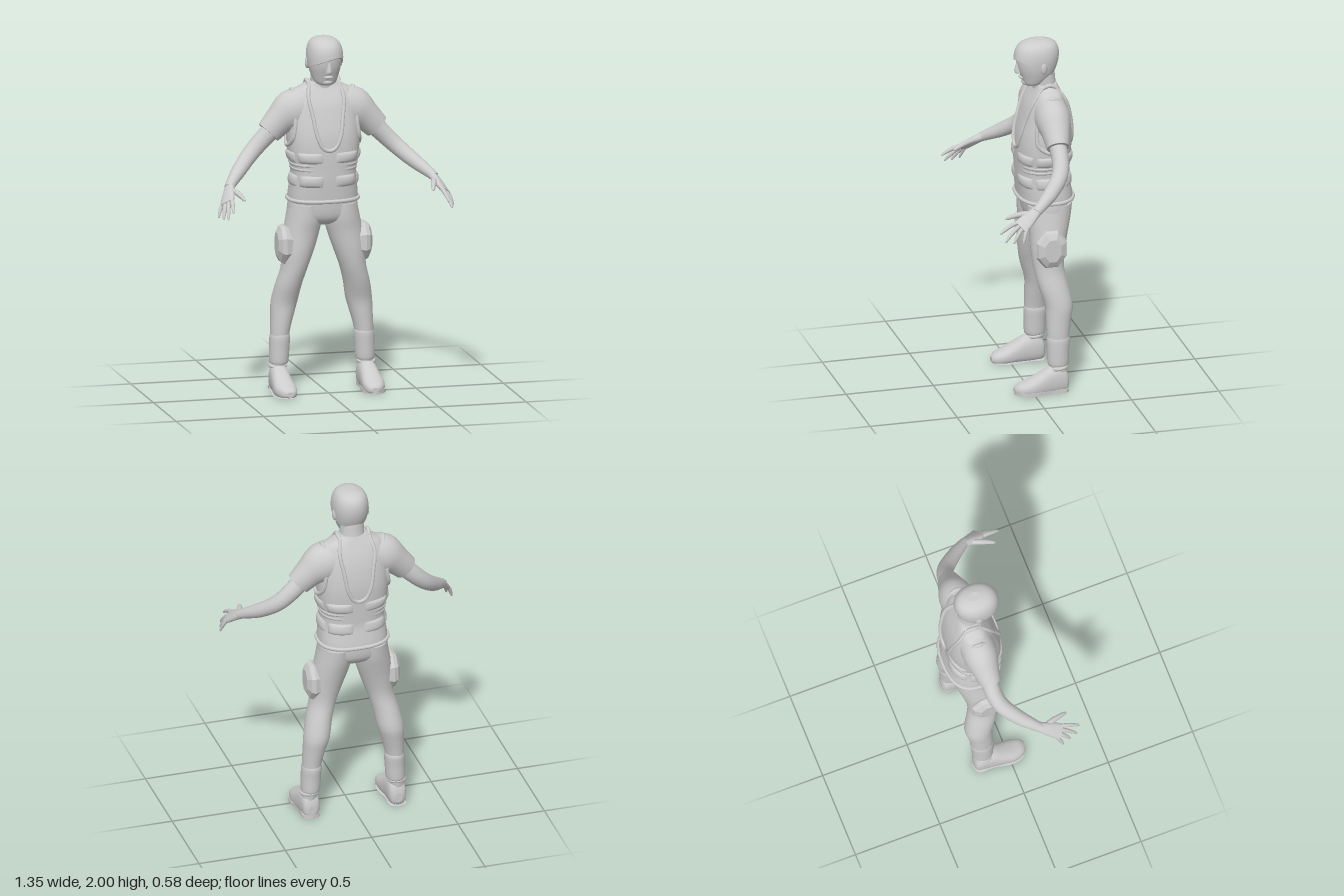
import * as THREE from 'three';

const V = (x, y, z) => new THREE.Vector3(x, y, z);
const grey = new THREE.MeshStandardMaterial({ color: 0xcccccc });
grey.name = 'light grey';

// Surface from f(u, v): u runs around, v along; optional wrap and end caps
function grid(nu, nv, f, wrap = true, caps = wrap) {
  const pos = [], idx = [], cols = wrap ? nu : nu + 1;
  for (let j = 0; j <= nv; j++)
    for (let i = 0; i < cols; i++) pos.push(...f(i / nu, j / nv).toArray());
  for (let j = 0; j < nv; j++)
    for (let i = 0; i < nu; i++) {
      const k = (i + 1) % cols, a = j * cols, b = a + cols;
      idx.push(a + i, a + k, b + k, a + i, b + k, b + i);
    }
  if (caps) for (const v of [0, 1]) {
    const start = pos.length / 3, c = V(0, 0, 0);
    for (let i = 0; i < nu; i++) {
      const p = f(i / nu, v);
      pos.push(...p.toArray());
      c.addScaledVector(p, 1 / nu);
    }
    pos.push(...c.toArray());
    for (let i = 0; i < nu; i++) {
      const a = start + i, b = start + (i + 1) % nu;
      idx.push(start + nu, v ? a : b, v ? b : a);
    }
  }
  const g = new THREE.BufferGeometry();
  g.setAttribute('position', new THREE.Float32BufferAttribute(pos, 3));
  g.setIndex(idx);
  g.computeVertexNormals();
  return g;
}

// Catmull-Rom subdivision of rows [x, y, z, ru, rv]
function smooth(rows, k = 3) {
  const out = [], at = i => rows[Math.max(0, Math.min(rows.length - 1, i))];
  for (let i = 0; i < rows.length - 1; i++)
    for (let s = 0; s < k; s++) {
      const t = s / k;
      out.push(rows[i].map((p1, c) => {
        const p0 = at(i - 1)[c], p2 = at(i + 1)[c], p3 = at(i + 2)[c];
        return p1 + 0.5 * t * (p2 - p0 + t * (2 * p0 - 5 * p1 + 4 * p2 - p3 + t * (3 * (p1 - p2) + p3 - p0)));
      }));
    }
  out.push(rows[rows.length - 1]);
  return out;
}

const pow = (v, n) => Math.sign(v) * Math.abs(v) ** (2 / n);

// Loft through rings; u follows ref, axis fixes the ring plane if given
function loft(input, { seg = 20, n = 2, ref = V(0, 0, 1), axis = null, k = 3, turn = 0, floor = -1 } = {}) {
  const rows = k > 1 ? smooth(input, k) : input, last = rows.length - 1;
  const frames = rows.map((r, i) => {
    const a = rows[Math.max(0, i - 1)], b = rows[Math.min(last, i + 1)];
    const t = axis ? axis.clone() : V(b[0] - a[0], b[1] - a[1], b[2] - a[2]).normalize();
    const u = ref.clone().addScaledVector(t, -ref.dot(t)).normalize();
    return [u, t.cross(u)];
  });
  return grid(seg, last, (uu, vv) => {
    const i = Math.round(vv * last), r = rows[i], a = uu * Math.PI * 2 + turn;
    const p = V(r[0], r[1], r[2]).addScaledVector(frames[i][0], r[3] * pow(Math.cos(a), n))
      .addScaledVector(frames[i][1], r[4] * pow(Math.sin(a), n));
    p.y = Math.max(p.y, floor);
    return p;
  });
}
const upright = (rows, o = {}) => loft(rows, { axis: V(0, 1, 0), ref: V(1, 0, 0), ...o });

// Interpolated upright ring at height y, and a point on it (a = 0 is the front)
function ringAt(rows, y) {
  let i = 0;
  while (i < rows.length - 2 && rows[i + 1][1] < y) i++;
  const t = Math.max(0, Math.min(1, (y - rows[i][1]) / (rows[i + 1][1] - rows[i][1])));
  return rows[i].map((v, c) => v + (rows[i + 1][c] - v) * t);
}
function onRing(rows, y, a, off, n) {
  const r = ringAt(rows, y);
  return V((r[3] + off) * pow(Math.sin(a), n), y, r[2] + (r[4] + off) * pow(Math.cos(a), n));
}

function mirror(g) {
  const m = g.clone().applyMatrix4(new THREE.Matrix4().makeScale(-1, 1, 1));
  if (m.index) {
    const ix = m.index.array;
    for (let i = 0; i < ix.length; i += 3) [ix[i], ix[i + 1]] = [ix[i + 1], ix[i]];
  }
  return m;
}

const TN = 2.5;
const torsoRows = [
  [0, 1.07, -0.133, 0.19, 0.148], [0, 1.1, -0.132, 0.194, 0.15], [0, 1.2, -0.12, 0.184, 0.146],
  [0, 1.26, -0.12, 0.182, 0.147], [0, 1.35, -0.122, 0.198, 0.15], [0, 1.45, -0.128, 0.203, 0.149],
  [0, 1.55, -0.135, 0.198, 0.132], [0, 1.63, -0.138, 0.19, 0.11], [0, 1.69, -0.142, 0.17, 0.082],
  [0, 1.72, -0.143, 0.118, 0.068], [0, 1.745, -0.14, 0.08, 0.06]];
const torsoFine = smooth(torsoRows);
// Point on the vest from x and y, side +1 front or -1 back
function onVest(x, y, side) {
  const r = ringAt(torsoFine, y), s = Math.min(1, Math.abs(x) / r[3]);
  return V(x, y, r[2] + side * (r[4] + 0.003) * (1 - s ** TN) ** (1 / TN));
}
const tube = (pts, r, closed = true) =>
  new THREE.TubeGeometry(new THREE.CatmullRomCurve3(pts, closed), 90, r, 8, closed);
// Padded pouch hugging the vest
const pouch = (a0, a1, y0, y1, h) => grid(16, 8, (u, v) => {
  const e = (Math.max(0, Math.sin(Math.PI * u)) * Math.max(0, Math.sin(Math.PI * v))) ** 0.4;
  return onRing(torsoFine, y0 + (y1 - y0) * v, a0 + (a1 - a0) * u, -0.004 + h * e, TN);
}, false);

export function createModel() {
  const model = new THREE.Group();
  const add = (name, g) => {
    const m = new THREE.Mesh(g, grey);
    m.name = name;
    model.add(m);
  };
  const pair = (name, g) => { add('left' + name, g); add('right' + name, mirror(g)); };

  // Head, hair and face
  const headRows = [
    [0, 1.735, -0.06, 0.035, 0.032], [0, 1.75, -0.07, 0.06, 0.055], [0, 1.79, -0.085, 0.077, 0.085],
    [0, 1.84, -0.09, 0.09, 0.107], [0, 1.9, -0.094, 0.094, 0.117], [0, 1.95, -0.097, 0.084, 0.108],
    [0, 1.98, -0.1, 0.06, 0.08], [0, 1.993, -0.1, 0.02, 0.03]];
  add('head', upright(headRows, { seg: 28, n: 2.1 }));
  const headFine = smooth(headRows);
  add('hair', grid(36, 12, (u, v) => {
    const a = u * Math.PI * 2, c = Math.cos(a), f = Math.max(0, c);
    const hem = 1.84 + 0.05 * c + 0.03 * Math.sin(a) * f;
    const w = 1 - (1 - v) ** 2;
    const p = onRing(headFine, hem + (1.993 - hem) * w, a, 0.006 + 0.009 * f * (1 - v), 2.1);
    p.y += 0.006 * w;
    return p;
  }));
  add('neck', upright([[0, 1.66, -0.145, 0.085, 0.075], [0, 1.73, -0.135, 0.07, 0.066], [0, 1.82, -0.12, 0.066, 0.072]]));
  add('nose', upright([[0, 1.81, 0.008, 0.02, 0.022], [0, 1.825, 0.012, 0.017, 0.024], [0, 1.88, 0.008, 0.008, 0.012]], { seg: 10 }));
  add('mouth', new THREE.SphereGeometry(1, 14, 8).scale(0.028, 0.01, 0.014).translate(0, 1.785, -0.004));
  add('chin', new THREE.SphereGeometry(1, 14, 10).scale(0.035, 0.02, 0.03).translate(0, 1.755, -0.035));
  pair('Ear', new THREE.SphereGeometry(1, 12, 10).scale(0.012, 0.034, 0.02).rotateY(0.3).translate(0.094, 1.855, -0.11));

  // Vest with hem, pouches and piping
  add('vest', upright(torsoRows, { seg: 40, n: TN }));
  const loop = Array.from({ length: 32 }, (_, i) => onRing(torsoFine, 1.085, i / 32 * Math.PI * 2, 0.002, TN));
  add('vestHem', tube(loop, 0.011));
  for (const [y0, y1] of [[1.3, 1.365], [1.165, 1.235]])
    for (const [a0, a1] of [[0.1, 1.0], [1.08, 2.0], [2.1, 3.05]])
      pair('Pouch', pouch(a0, a1, y0, y1, 0.016));
  for (const y of [1.255, 1.28])
    pair('Strap', pouch(0.25, 2.9, y, y + 0.018, 0.009));
  const uPath = [[0.085, 1.735], [0.1, 1.66], [0.085, 1.56], [0.065, 1.45], [0.035, 1.39]];
  const half = side => [...uPath, [0, 1.375], ...uPath.map(([x, y]) => [-x, y]).reverse()].map(([x, y]) => onVest(x, y, side));
  add('frontNeckPiping', tube(half(1), 0.011, false));
  add('backNeckPiping', tube(half(-1), 0.011, false));
  pair('ShoulderPiping', tube([onVest(0.085, 1.735, 1), V(0.09, 1.75, -0.14), onVest(0.085, 1.735, -1)], 0.012, false));
  const hole = [[0.165, 1.66], [0.172, 1.59], [0.178, 1.5], [0.19, 1.43]];
  pair('ArmholePiping', tube([V(0.175, 1.7, -0.14), ...hole.map(([x, y]) => onVest(x, y, 1)), V(0.204, 1.39, -0.13),
    ...hole.slice().reverse().map(([x, y]) => onVest(x, y, -1))], 0.012));

  // Sleeves and arms
  pair('Sleeve', loft([[0.1, 1.6, -0.138, 0.095, 0.115], [0.18, 1.575, -0.138, 0.098, 0.118],
    [0.245, 1.53, -0.135, 0.08, 0.086], [0.31, 1.465, -0.13, 0.062, 0.072]], { seg: 24 }));
  pair('Arm', loft([[0.27, 1.5, -0.13, 0.05, 0.055], [0.36, 1.41, -0.13, 0.047, 0.05], [0.43, 1.342, -0.105, 0.046, 0.046],
    [0.5, 1.28, -0.04, 0.042, 0.041], [0.55, 1.24, 0.02, 0.034, 0.033], [0.588, 1.208, 0.07, 0.027, 0.025]]));

  // Hands
  pair('Palm', loft([[0.575, 1.218, 0.055, 0.026, 0.024], [0.595, 1.19, 0.1, 0.036, 0.021],
    [0.615, 1.157, 0.15, 0.045, 0.017], [0.625, 1.145, 0.175, 0.04, 0.011]], { ref: V(-0.67, 0.46, 0.58), n: 2.4 }));
  const fingers = [
    ['Thumb', [0.577, 1.2, 0.1], [0.537, 1.165, 0.235], 0.016], ['IndexFinger', [0.598, 1.165, 0.175], [0.615, 1.11, 0.285], 0.012],
    ['MiddleFinger', [0.612, 1.155, 0.165], [0.64, 1.067, 0.262], 0.012], ['RingFinger', [0.627, 1.146, 0.153], [0.655, 1.062, 0.217], 0.012],
    ['LittleFinger', [0.641, 1.138, 0.138], [0.671, 1.062, 0.167], 0.011]];
  for (const [name, a, b, r] of fingers)
    pair(name, loft([[0, 0.9], [0.35, 1], [0.75, 0.8], [0.95, 0.5], [1, 0.15]].map(([t, s]) =>
      [a[0] + (b[0] - a[0]) * t, a[1] + (b[1] - a[1]) * t + 0.01 * Math.sin(Math.PI * t), a[2] + (b[2] - a[2]) * t, r * s, r * s]),
      { seg: 10, k: 2, ref: V(1, 0, 0) }));

  // Trousers, cuffs and thigh pads
  add('hips', upright([[0, 0.94, -0.13, 0.06, 0.06], [0, 0.965, -0.13, 0.15, 0.1],
    [0, 1.01, -0.135, 0.197, 0.125], [0, 1.1, -0.135, 0.187, 0.132]], { seg: 32, n: 2.3 }));
  pair('Leg', upright([[0.255, 0.1, -0.15, 0.04, 0.045], [0.245, 0.2, -0.15, 0.047, 0.055], [0.24, 0.32, -0.15, 0.053, 0.062],
    [0.226, 0.42, -0.156, 0.064, 0.071], [0.213, 0.5, -0.16, 0.074, 0.079], [0.194, 0.6, -0.136, 0.074, 0.085],
    [0.166, 0.7, -0.116, 0.075, 0.086], [0.145, 0.8, -0.116, 0.09, 0.096], [0.123, 0.9, -0.126, 0.1, 0.108],
    [0.107, 0.98, -0.132, 0.1, 0.122], [0.1, 1.06, -0.138, 0.092, 0.128]], { seg: 24 }));
  pair('Cuff', upright([[0.247, 0.155, -0.148, 0.05, 0.055], [0.246, 0.17, -0.148, 0.054, 0.06],
    [0.243, 0.24, -0.148, 0.056, 0.062], [0.24, 0.3, -0.15, 0.057, 0.066], [0.239, 0.32, -0.15, 0.052, 0.062]]));
  const pad = loft([[0.19, 0.83, -0.115, 0.08, 0.1], [0.228, 0.832, -0.115, 0.094, 0.118],
    [0.25, 0.833, -0.115, 0.084, 0.105], [0.268, 0.834, -0.115, 0.05, 0.07]],
    { seg: 8, k: 1, axis: V(1, 0, 0), turn: Math.PI / 8 }).toNonIndexed();
  pad.computeVertexNormals();
  add('leftThighPad', pad);
  add('rightThighPad', pad.clone().rotateY(Math.PI).translate(0, 0, -0.23));

  // Shoes
  pair('Shoe', loft([[0.25, 0.05, -0.203, 0.022, 0.028], [0.25, 0.06, -0.19, 0.044, 0.065], [0.25, 0.07, -0.15, 0.052, 0.085],
    [0.252, 0.062, -0.09, 0.055, 0.08], [0.253, 0.045, -0.03, 0.06, 0.064], [0.252, 0.032, 0.03, 0.062, 0.046],
    [0.247, 0.025, 0.08, 0.046, 0.032], [0.243, 0.022, 0.102, 0.02, 0.015]],
    { axis: V(0, 0, 1), ref: V(1, 0, 0), n: 2.4, floor: 0.004, seg: 24 }));
  const sole = new THREE.Shape();
  sole.setFromPoints(new THREE.SplineCurve([[0.25, 0.207], [0.298, 0.185], [0.3, 0.1], [0.318, 0], [0.302, -0.07], [0.245, -0.105],
    [0.202, -0.07], [0.187, 0], [0.205, 0.1], [0.204, 0.185], [0.25, 0.207]].map(p => new THREE.Vector2(...p))).getPoints(50).slice(0, -1));
  pair('Sole', new THREE.ExtrudeGeometry(sole, { depth: 0.02, bevelEnabled: false }).rotateX(-Math.PI / 2));
  pair('ShoeCollar', new THREE.TorusGeometry(0.044, 0.01, 8, 20).rotateX(Math.PI / 2 + 0.15).translate(0.252, 0.142, -0.15));
  return model;
}
